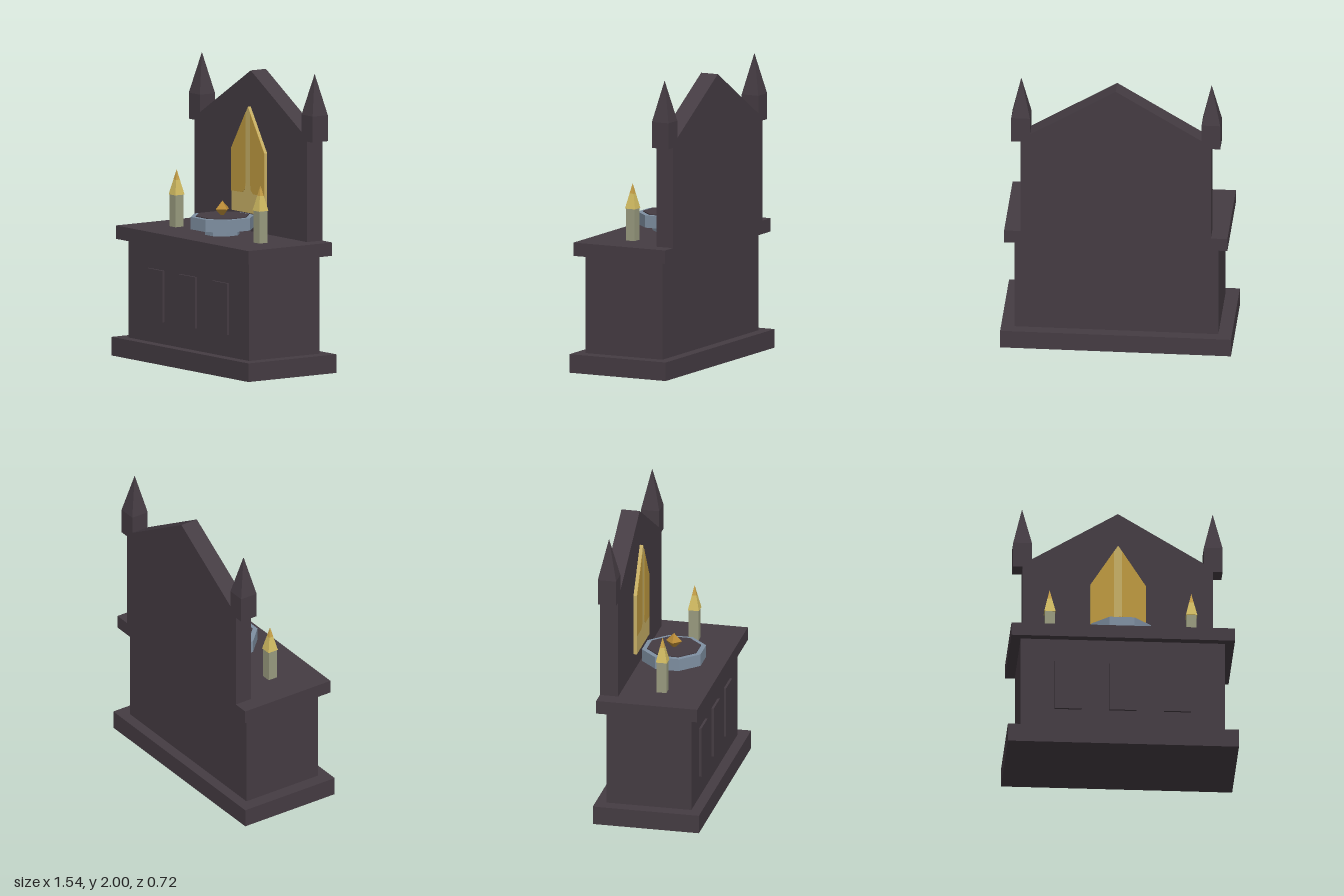
import * as THREE from 'three';

function flat(name, color) {
  const m = new THREE.MeshStandardMaterial({ color });
  m.name = name;
  return m;
}

export function createModel() {
  const stone = flat('dark stone', 0x453c43);
  const slate = flat('blue slate', 0x7f90a2);
  const gold = flat('gold', 0xbe9a40);
  const paleGold = flat('pale gold', 0xc8b066);
  const amber = flat('amber gem', 0xb88a36);
  const flameLow = flat('flame yellow', 0xd2bc62);
  const flameTip = flat('flame gold', 0xc9a248);
  const wax = flat('candle wax', 0x9a9c80);

  const model = new THREE.Group();
  model.name = 'altar';

  function add(name, geometry, material, x = 0, y = 0, z = 0) {
    const mesh = new THREE.Mesh(geometry, material);
    mesh.name = name;
    mesh.position.set(x, y, z);
    model.add(mesh);
    return mesh;
  }
  // box given by its centre in x and z and its bottom and top in y
  const box = (name, mat, w, y0, y1, d, x = 0, z = 0) =>
    add(name, new THREE.BoxGeometry(w, y1 - y0, d), mat, x, (y0 + y1) / 2, z);
  // flat-sided prism or pyramid with sides square to the axes; radii are apothems
  function prism(name, mat, sides, top, bottom, y0, y1, x, z, open = false) {
    const k = 1 / Math.cos(Math.PI / sides);
    const g = new THREE.CylinderGeometry(top * k, bottom * k, y1 - y0, sides, 1, open, Math.PI / sides).toNonIndexed();
    g.computeVertexNormals();
    return add(name, g, mat, x, (y0 + y1) / 2, z);
  }
  // outline in x and y, extruded towards the front from z
  function plate(name, mat, points, depth, z) {
    const shape = new THREE.Shape(points.map(([x, y]) => new THREE.Vector2(x, y)));
    return add(name, new THREE.ExtrudeGeometry(shape, { depth, bevelEnabled: false }), mat, 0, 0, z);
  }

  // table
  box('base', stone, 1.54, 0, 0.125, 0.724);
  box('body', stone, 1.36, 0.125, 0.785, 0.58);
  box('tableTop', stone, 1.49, 0.785, 0.875, 0.69);
  for (const x of [-0.364, 0, 0.364]) box('frontPanel', stone, 0.18, 0.275, 0.62, 0.03, x, 0.291);

  // gabled back wall
  plate('backWall', stone, [[-0.635, 0.875], [0.635, 0.875], [0.635, 1.57], [0, 1.955], [-0.635, 1.57]], 0.125, -0.345);

  // gold window plaque with darker panes
  plate('plaque', paleGold, [[-0.185, 1], [0.185, 1], [0.185, 1.42], [0, 1.713], [-0.185, 1.42]], 0.023, -0.22);
  for (const s of [-1, 1]) {
    const pane = [[0.185, 1.13], [0.185, 1.42], [0.026, 1.672], [0.026, 1.2], [0.034, 1.155], [0.06, 1.132]];
    plate('pane', gold, pane.map(([x, y]) => [s * x, y]), 0.003, -0.198);
  }

  // pinnacles and candles
  for (const s of [-1, 1]) {
    box('pinnacleBlock', stone, 0.125, 1.55, 1.725, 0.125, s * 0.635, -0.2825);
    prism('pinnacleSpire', stone, 4, 0, 0.0625, 1.725, 2, s * 0.635, -0.2825);
    box('candle', wax, 0.066, 0.875, 1.09, 0.066, s * 0.472, 0.045);
    prism('flame', flameLow, 4, 0.0155, 0.038, 1.09, 1.19, s * 0.472, 0.045);
    prism('flameTip', flameTip, 4, 0, 0.0155, 1.19, 1.26, s * 0.472, 0.045, true);
  }

  // octagonal offering bowl with a gem
  prism('bowlFoot', slate, 8, 0.11, 0.11, 0.875, 0.915, 0, 0.014);
  prism('bowl', slate, 8, 0.2, 0.2, 0.915, 0.998, 0, 0.014);
  prism('bowlInset', stone, 8, 0.168, 0.168, 0.995, 1.004, 0, 0.014);
  add('gem', new THREE.OctahedronGeometry(0.055), amber, 0, 1.045, 0.014);

  return model;
}
